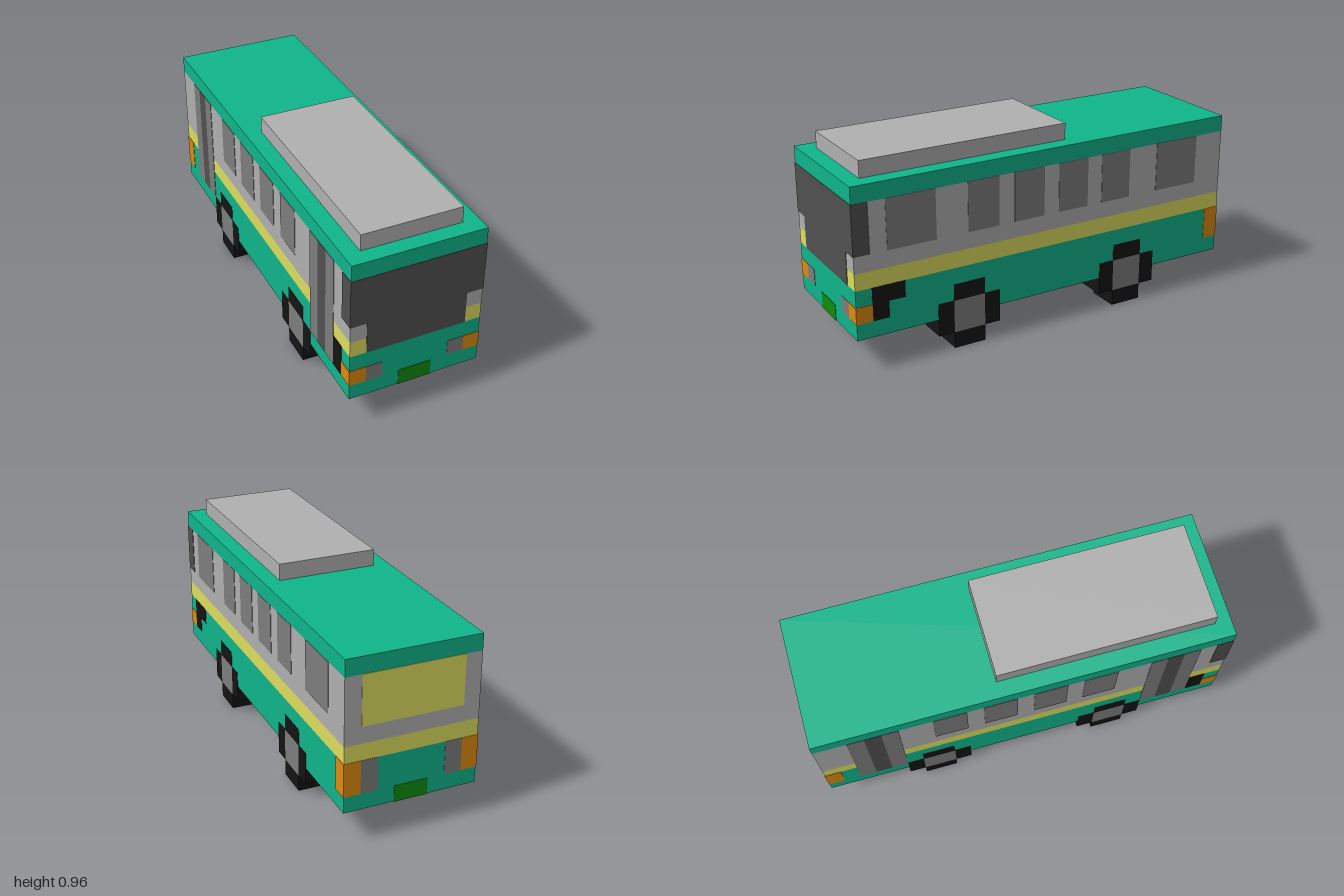
import * as THREE from 'three';

const COLORS = {
  green: 0x0fb58b, wall: 0xb0b0b0, yellow: 0xdddd5f, dark: 0x505050, grey: 0x7d7d7d,
  black: 0x141414, orange: 0xdd8a0d, plate: 0x0e8c0e,
};
const U = 0.08;       // one block
const INSET = 0.002;  // body shell sits just behind the panels

const materials = {};
for (const [key, color] of Object.entries(COLORS)) {
  materials[key] = new THREE.MeshStandardMaterial({ color, flatShading: true });
}

// Box between two limits on each axis
function addBox(parent, name, color, [x0, x1], [y0, y1], [z0, z1]) {
  const mesh = new THREE.Mesh(new THREE.BoxGeometry(x1 - x0, y1 - y0, z1 - z0), materials[color]);
  mesh.position.set((x0 + x1) / 2, (y0 + y1) / 2, (z0 + z1) / 2);
  mesh.name = name;
  parent.add(mesh);
  return mesh;
}

function addGroup(parent, name) {
  const group = new THREE.Group();
  group.name = name;
  parent.add(group);
  return group;
}

// Range on the x axis mirrored to the chosen side
const onSide = (side, a, b) => (side > 0 ? [a, b] : [-b, -a]);

export function createModel() {
  const bus = new THREE.Group();
  bus.name = 'bus';

  // Body in four stacked colour bands
  const body = addGroup(bus, 'body');
  const w = 0.32 - INSET, l = 1 - INSET;
  for (const [name, color, y0, y1] of [
    ['skirt', 'green', 0.16 + INSET, 0.4],
    ['stripe', 'yellow', 0.4, 0.48],
    ['cabinWall', 'wall', 0.48, 0.8],
    ['roof', 'green', 0.8, 0.88],
  ]) addBox(body, name, color, [-w, w], [y0, y1], [-l, l]);
  addBox(body, 'roofUnit', 'wall', [-0.24, 0.24], [0.88, 0.96], [-0.12, 0.92]);
  addBox(body, 'floorPanel', 'dark', [-0.24, 0.24], [0.16, 0.18], [-0.92, 0.92]);

  // Windscreen wrapping the front corners, and rear window
  const ends = addGroup(bus, 'endWindows');
  addBox(ends, 'windscreenTop', 'dark', [-0.32, 0.32], [0.56, 0.8], [0.92, 1]);
  addBox(ends, 'windscreenBottom', 'dark', [-0.24, 0.24], [0.4, 0.56], [0.92, 1]);
  addBox(ends, 'rearWindow', 'yellow', [-0.24, 0.24], [0.56, 0.8], [-1, -0.92]);

  // Number plates
  addBox(bus, 'frontPlate', 'plate', [-U, U], [0.16, 0.24], [0.92, 1]);
  addBox(bus, 'rearPlate', 'plate', [-U, U], [0.16, 0.24], [-1, -0.92]);

  // Lamps, side windows and wheels on both sides
  for (const side of [1, -1]) {
    const half = addGroup(bus, side > 0 ? 'leftSide' : 'rightSide');
    const corner = onSide(side, 0.24, 0.32);
    const inner = onSide(side, 0.16, 0.24);
    const skin = onSide(side, 0.3, 0.32);

    addBox(half, 'frontIndicator', 'orange', corner, [0.24, 0.32], [0.92, 1]);
    addBox(half, 'headlamp', 'grey', inner, [0.24, 0.32], [0.92, 1]);
    addBox(half, 'rearIndicator', 'orange', corner, [0.24, 0.4], [-1, -0.92]);
    addBox(half, 'rearLamp', 'grey', inner, [0.24, 0.4], [-1, -0.92]);
    addBox(half, 'sideVent', 'black', skin, [0.24, 0.4], [0.84, 0.92]);

    for (const z of [0.36, 0.12, -0.12, -0.36]) {
      addBox(half, 'sideWindow', 'grey', skin, [0.56, 0.8], [z - U, z + U]);
    }

    for (const z of [0.44, -0.44]) {
      const wheel = addGroup(half, z > 0 ? 'frontWheel' : 'rearWheel');
      const span = onSide(side, 0.16, 0.32);
      addBox(wheel, 'hub', 'grey', span, [0.08, 0.24], [z - U, z + U]);
      addBox(wheel, 'tyreBottom', 'black', span, [0, 0.08], [z - U, z + U]);
      addBox(wheel, 'tyreTop', 'black', span, [0.24, 0.32], [z - U, z + U]);
      addBox(wheel, 'tyreFront', 'black', span, [0.08, 0.24], [z + U, z + 2 * U]);
      addBox(wheel, 'tyreBack', 'black', span, [0.08, 0.24], [z - 2 * U, z - U]);
    }
  }

  // Doors on the right, wide windows in their place on the left
  const right = onSide(-1, 0.3, 0.32), left = onSide(1, 0.3, 0.32);
  for (const z of [0.72, -0.72]) {
    const door = addGroup(bus, z > 0 ? 'frontDoor' : 'rearDoor');
    for (const [i, color] of ['grey', 'dark', 'grey'].entries()) {
      const z0 = z + (i - 1.5) * U;
      addBox(door, color === 'dark' ? 'doorGap' : 'doorLeaf', color, right, [0.24, 0.8], [z0, z0 + U]);
    }
    addBox(bus, 'wideWindow', 'grey', left, [0.56, 0.8], [z - 1.5 * U, z + 1.5 * U]);
  }

  // Step in the left vent
  addBox(bus, 'leftVentStep', 'black', left, [0.32, 0.4], [0.76, 0.84]);

  return bus;
}
